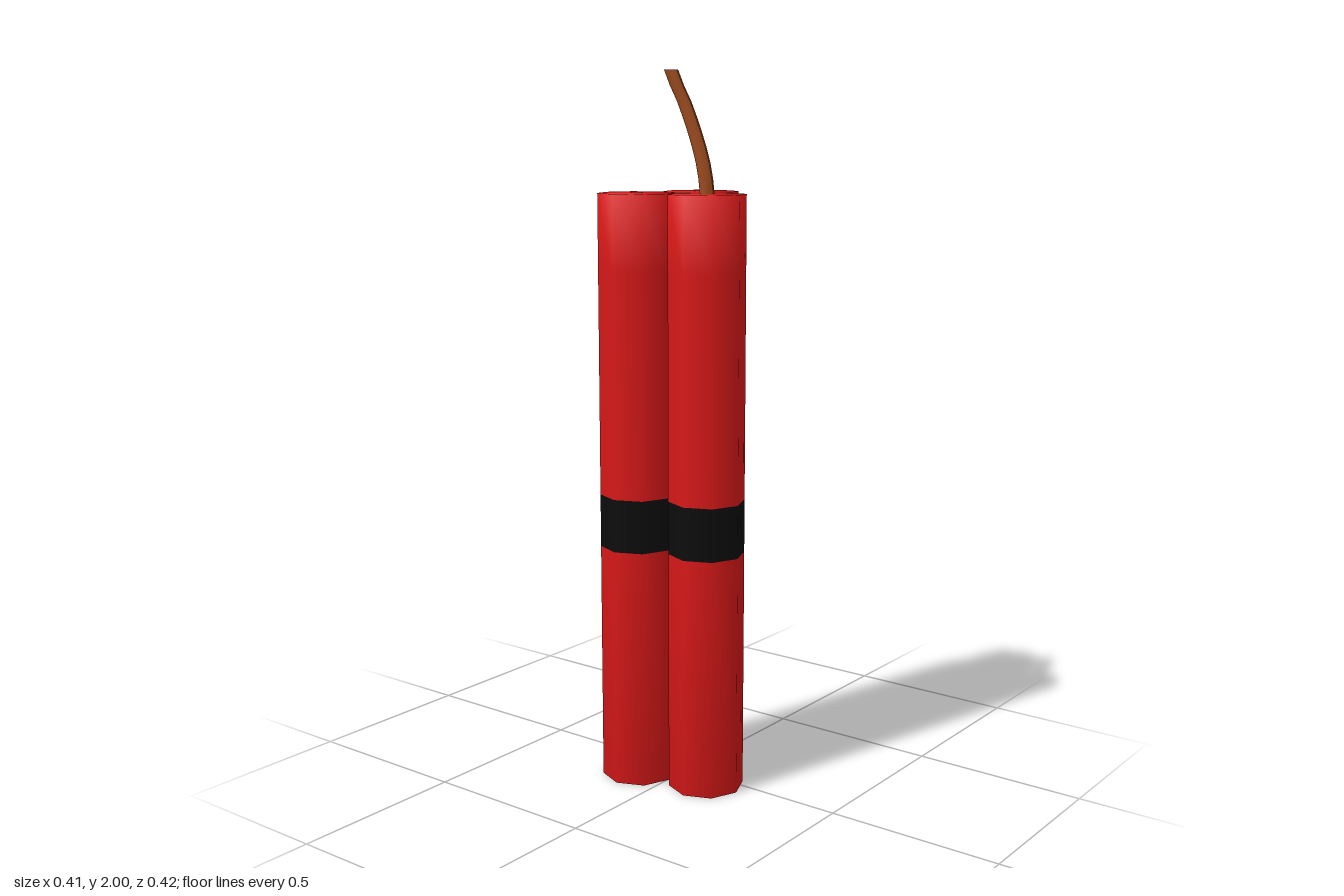
import * as THREE from 'three';

const RADIUS = 0.107, HEIGHT = 1.675, BAND_LOW = 0.685, BAND_HIGH = 0.835;
const FUSE_RADIUS = 0.02;

const red = new THREE.MeshStandardMaterial({ color: 0xd81818 });
const black = new THREE.MeshStandardMaterial({ color: 0x0c0c0c });
const brown = new THREE.MeshStandardMaterial({ color: 0x9c4a1c });

function part(name, geometry, material) {
  const mesh = new THREE.Mesh(geometry, material);
  mesh.name = name;
  return mesh;
}

// Eight-sided surface of revolution, profile listed from bottom to top
function turned(profile) {
  return new THREE.LatheGeometry(profile.map(([r, y]) => new THREE.Vector2(r, y)), 8);
}

// One stick: lower and upper casing with a flush black band between them
function createStick(x, z) {
  const stick = new THREE.Group();
  stick.name = 'stick';
  stick.add(
    part('lowerCasing', turned([[0, 0], [RADIUS, 0], [RADIUS, BAND_LOW]]), red),
    part('band', turned([[RADIUS, BAND_LOW], [RADIUS, BAND_HIGH]]), black),
    part('upperCasing', turned([[RADIUS, BAND_HIGH], [RADIUS, 1.47], [RADIUS, HEIGHT], [0, HEIGHT]]), red),
  );
  // Brown fuse socket in the top cap
  const socket = part('fuseSocket', new THREE.CircleGeometry(FUSE_RADIUS, 8), brown);
  socket.rotation.set(-Math.PI / 2, 0, Math.PI / 8);
  socket.position.y = HEIGHT + 0.001;
  stick.add(socket);
  stick.position.set(x, 0, z);
  return stick;
}

// Curved fuse: a cylinder whose level rings are shifted along a bending path
function createFuse() {
  const length = 2 - HEIGHT;
  const path = new THREE.SplineCurve([
    new THREE.Vector2(-0.05, 0.102),
    new THREE.Vector2(-0.051, 0.089),
    new THREE.Vector2(-0.055, 0.064),
    new THREE.Vector2(-0.063, 0.034),
    new THREE.Vector2(-0.076, 0.001),
  ]);
  const geometry = new THREE.CylinderGeometry(FUSE_RADIUS * 0.95, FUSE_RADIUS, length, 8, 8);
  geometry.translate(0, length / 2, 0);
  const pos = geometry.attributes.position;
  for (let i = 0; i < pos.count; i++) {
    const t = THREE.MathUtils.clamp(pos.getY(i) / length, 0, 1);
    const shift = path.getPoint(t);
    pos.setXYZ(i, pos.getX(i) + shift.x, HEIGHT + pos.getY(i), pos.getZ(i) + shift.y);
  }
  geometry.computeVertexNormals();
  return part('fuse', geometry, brown);
}

export function createModel() {
  const model = new THREE.Group();
  model.name = 'stickBundle';
  for (const [x, z] of [[-0.096, -0.104], [0.095, -0.029], [-0.05, 0.102]]) {
    model.add(createStick(x, z));
  }
  model.add(createFuse());
  return model;
}
